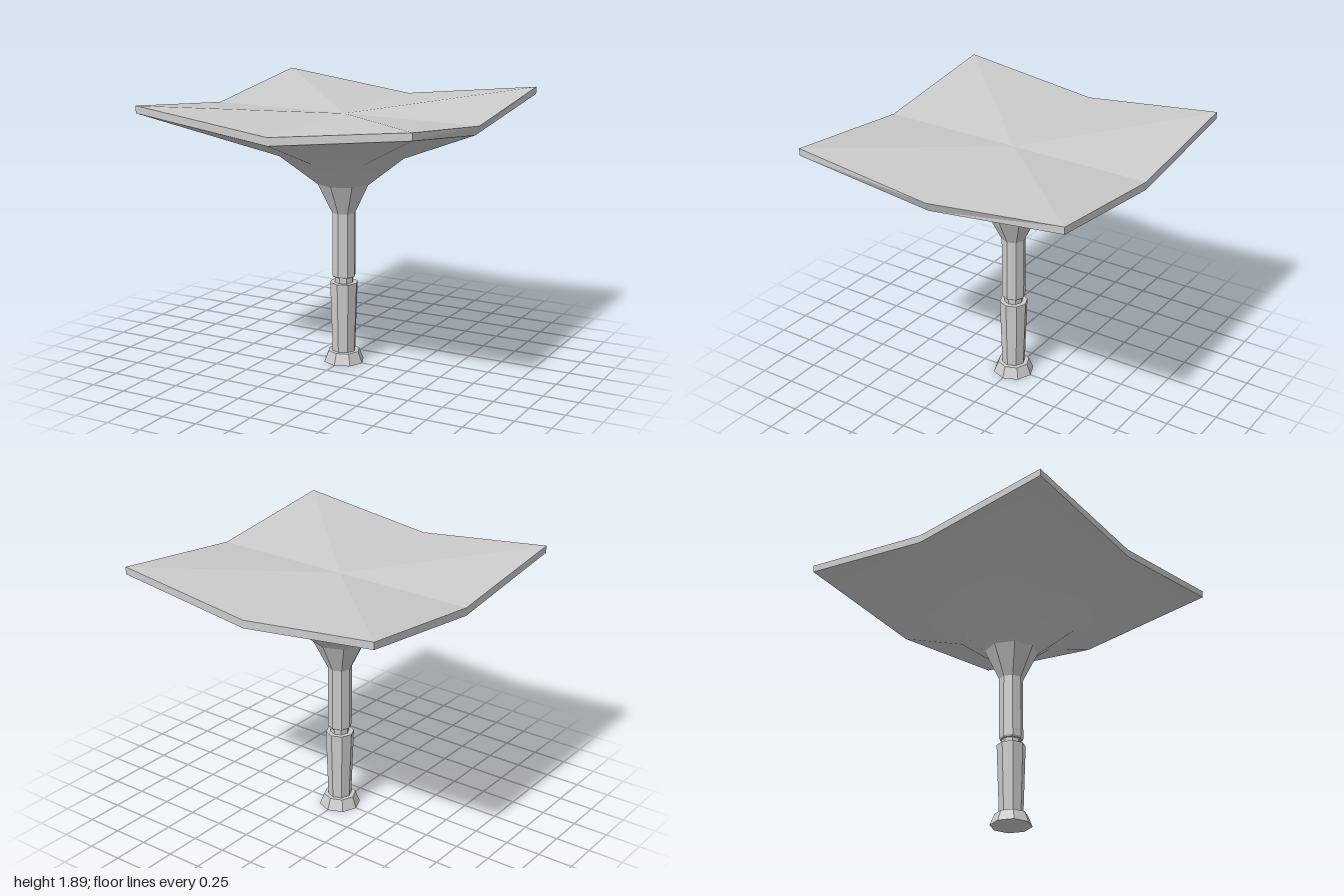
import * as THREE from 'three';
import { toCreasedNormals } from 'three/addons/utils/BufferGeometryUtils.js';

const SIDES = 8;

// Eight-point ring, starting at +z and running towards +x
function ring(pointAt) {
  return Array.from({ length: SIDES }, (_, k) => {
    const a = (k / SIDES) * Math.PI * 2;
    return pointAt(Math.sin(a), Math.cos(a), k % 2 === 1);
  });
}

const roundRing = (r, y) => ring((sx, cz) => new THREE.Vector3(sx * r, y, cz * r));

// Square ring whose corners are raised above its edge midpoints
const squareRing = (yMiddle, yCorner) => ring((sx, cz, corner) => {
  const s = corner ? Math.SQRT2 : 1;
  return new THREE.Vector3(sx * s, corner ? yCorner : yMiddle, cz * s);
});

// Skin between successive rings, listed from bottom to top
function loft(rings) {
  const pts = [];
  for (let i = 0; i < rings.length - 1; i++) {
    for (let k = 0; k < SIDES; k++) {
      const n = (k + 1) % SIDES;
      const [a, b] = [rings[i], rings[i + 1]];
      pts.push(a[k], a[n], b[n], a[k], b[n], b[k]);
    }
  }
  return new THREE.BufferGeometry().setFromPoints(pts);
}

function fan(loop, centre) {
  const pts = [];
  loop.forEach((p, k) => pts.push(p, loop[(k + 1) % SIDES], centre));
  return new THREE.BufferGeometry().setFromPoints(pts);
}

export function createModel() {
  const group = new THREE.Group();
  const flat = new THREE.MeshStandardMaterial({ color: 0xcccccc, flatShading: true });
  const smooth = new THREE.MeshStandardMaterial({ color: 0xcccccc });

  const add = (name, geometry, material) => {
    if (!geometry.attributes.normal) geometry.computeVertexNormals();
    const mesh = new THREE.Mesh(geometry, material);
    mesh.name = name;
    group.add(mesh);
  };

  // Octagonal turned parts: [radius, height] from bottom to top
  const turned = (name, profile) => add(
    name,
    new THREE.LatheGeometry(profile.map(([r, y]) => new THREE.Vector2(r, y)), SIDES),
    flat,
  );
  turned('foot', [[0, 0], [0.145, 0], [0.113, 0.08], [0, 0.08]]);
  turned('lowerColumn', [[0.083, 0.08], [0.1, 0.58], [0, 0.58]]);
  turned('neck', [[0.066, 0.58], [0.066, 0.63]]);
  turned('upperColumn', [[0, 0.62], [0.077, 0.62], [0.084, 0.632], [0.084, 1.08]]);
  turned('flare', [[0.084, 1.08], [0.188, 1.29]]);

  // Canopy: folded square deck, thin rim and a funnel-like underside
  const rimTop = squareRing(1.77, 1.89);
  const rimBottom = squareRing(1.715, 1.84);
  rimBottom[2].set(0.97, 1.705, 0); // slightly tucked-in edge on the left side
  const underside = loft([roundRing(0.188, 1.29), roundRing(0.455, 1.5), rimBottom]);
  add('canopyUnderside', toCreasedNormals(underside, 0.6), smooth);
  add('canopyRim', loft([rimBottom, rimTop]), flat);
  add('canopyDeck', fan(rimTop, new THREE.Vector3(0, 1.77, 0)), flat);

  return group;
}
